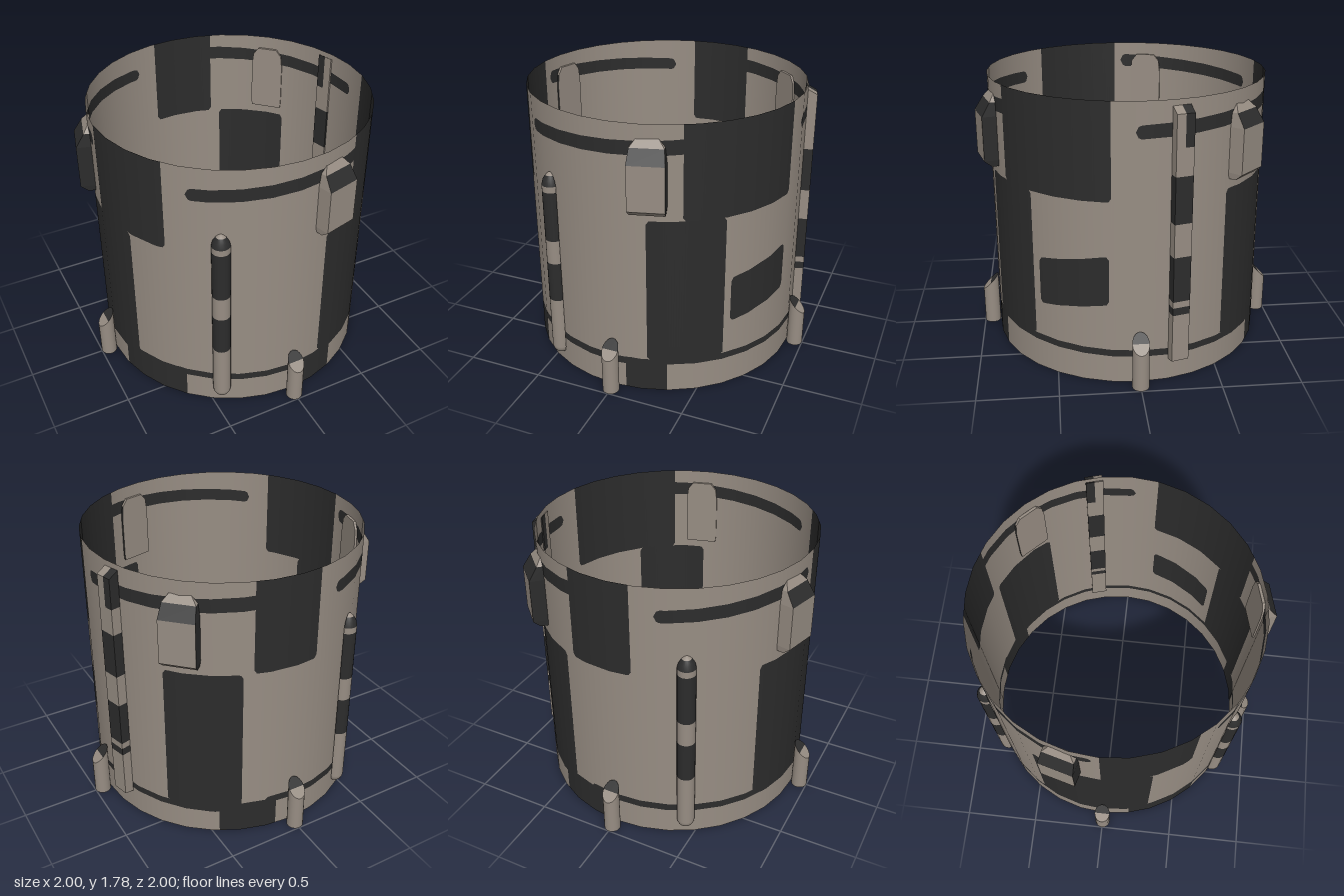
import * as THREE from 'three';

const R = 0.89, H = 1.785, SIDES = 32;
const rad = THREE.MathUtils.degToRad;

// Painted patches on the wall: start angle, end angle, low/high at start, low/high at end.
// Angle 0 is the front, 90 is +x; the paint seam is at -90 / 270.
const PATCHES = [
  // upper blocks
  [-95, -52, 1.19, 1.9], [28, 79, 1.19, 1.9], [162, 189, 1.19, 1.9],
  // middle columns
  [-95, -69, 0.2, 1.19], [14, 45, 0.22, 1.195], [127, 158, 0.19, 1.19], [240, 275, 0.18, 1.19],
  // lower blocks
  [-78, -45, -0.1, 0.23], [5, 22, -0.1, 0.23], [149, 173, -0.1, 0.22],
  // lower band
  [-95, -70, 0.165, 0.21], [-50, 10, 0.185, 0.235, 0.175, 0.225],
  [18, 154, 0.2, 0.245, 0.155, 0.2], [168, 275, 0.19, 0.24, 0.155, 0.205],
  // upper bands
  [-43, 32, 1.565, 1.645, 1.61, 1.7], [88, 166, 1.565, 1.645, 1.61, 1.7],
  [198, 267, 1.565, 1.645, 1.61, 1.7],
  // single slanted panel
  [48, 78, 0.46, 0.77, 0.53, 0.85],
];

// Low and high edge of a patch at an angle, with rounded corners
function patchSpan([a0, a1, lo0, hi0, lo1 = lo0, hi1 = hi0], a) {
  const t = (a - a0) / (a1 - a0);
  const lo = lo0 + (lo1 - lo0) * t, hi = hi0 + (hi1 - hi0) * t;
  const r = Math.min(hi - lo > 0.2 ? 0.025 : 0.04, (hi - lo) / 2);
  const d = Math.min(r, rad(Math.min(a - a0, a1 - a)) * R);
  const inset = r - Math.sqrt(r * r - (r - d) ** 2);
  return [lo + inset, hi - inset].map(y => THREE.MathUtils.clamp(y, 0, H));
}

// Point on the many-sided wall
function wallPoint(a, y) {
  const step = 360 / SIDES;
  const off = ((a % step) + step) % step - step / 2;
  const r = R * Math.cos(Math.PI / SIDES) / Math.cos(rad(off));
  return [r * Math.sin(rad(a)), y, r * Math.cos(rad(a))];
}

// Mesh from a list of four-cornered faces
function quadMesh(name, quads, material, radial = false) {
  const pos = quads.flatMap(([a, b, c, d]) => [...a, ...b, ...c, ...a, ...c, ...d]);
  const geo = new THREE.BufferGeometry();
  geo.setAttribute('position', new THREE.Float32BufferAttribute(pos, 3));
  geo.computeVertexNormals();
  if (radial) {
    const p = geo.attributes.position, n = geo.attributes.normal;
    for (let i = 0; i < p.count; i++) {
      const l = Math.hypot(p.getX(i), p.getZ(i));
      n.setXYZ(i, p.getX(i) / l, 0, p.getZ(i) / l);
    }
  }
  return named(name, geo, material);
}

function named(name, geo, material) {
  const m = new THREE.Mesh(geo, material);
  m.name = name;
  return m;
}

// Open wall, split in one-degree columns into light and dark faces
function makeWall(light, dark) {
  const quads = { light: [], dark: [] };
  for (let a = -90; a < 270; a++) {
    const emit = (key, l0, r0, l1, r1) => {
      if (l1 - l0 > 1e-5 || r1 - r0 > 1e-5) quads[key].push([
        wallPoint(a, l0), wallPoint(a + 1, r0), wallPoint(a + 1, r1), wallPoint(a, l1)]);
    };
    const spans = PATCHES.filter(p => p[0] <= a && p[1] >= a + 1)
      .map(p => [...patchSpan(p, a), ...patchSpan(p, a + 1)])
      .sort((s, t) => s[0] + s[2] - t[0] - t[2]);
    let l = 0, r = 0;
    for (const [loL, hiL, loR, hiR] of spans) {
      const l0 = Math.max(l, loL), r0 = Math.max(r, loR);
      emit('light', l, r, l0, r0);
      l = Math.max(l0, hiL);
      r = Math.max(r0, hiR);
      emit('dark', l0, r0, l, r);
    }
    emit('light', l, r, H, H);
  }
  const g = new THREE.Group();
  g.name = 'wall';
  g.add(quadMesh('wallLight', quads.light, light, true), quadMesh('wallDark', quads.dark, dark, true));
  return g;
}

// Short foot peg with a slanted top, inner half dark
function makePeg(light, dark) {
  const g = new THREE.Group(), r = 0.053;
  const body = new THREE.CylinderGeometry(r, r, 1, 20, 1, true);
  const p = body.attributes.position;
  for (let i = 0; i < p.count; i++) p.setY(i, p.getY(i) > 0 ? 0.3 - p.getZ(i) : 0);
  g.add(named('pegBody', body, light));
  [[dark, 0, 'pegTopInner'], [light, Math.PI, 'pegTopOuter']].forEach(([mat, start, name]) => {
    const top = new THREE.CircleGeometry(r, 10, start, Math.PI).rotateX(-Math.PI / 2);
    const q = top.attributes.position;
    for (let i = 0; i < q.count; i++) q.setY(i, 0.3 - q.getZ(i));
    top.computeVertexNormals();
    g.add(named(name, top, mat));
  });
  g.add(named('pegBase', new THREE.CircleGeometry(r, 20).rotateX(Math.PI / 2), light));
  return g;
}

// Half-round upright rib with a pointed top and round bottom
function makeRib(light, dark) {
  const g = new THREE.Group(), r = 0.057;
  const foot = [];
  for (let i = 0; i <= 5; i++) {
    const t = i / 5 * Math.PI / 2;
    foot.push([r * Math.sin(t), 0.12 - 0.06 * Math.cos(t)]);
  }
  const bands = [
    [light, [...foot, [r, 0.48]]],
    [dark, [[r, 0.48], [r, 0.75]]],
    [light, [[r, 0.75], [r, 0.91]]],
    [dark, [[r, 0.91], [r, 1.24]]],
    [light, [[r, 1.24], [r, 1.28]]],
    [dark, [[r, 1.28], [0.048, 1.315], [0.03, 1.342]]],
    [light, [[0.03, 1.342], [0.015, 1.355], [0, 1.36]]],
  ];
  bands.forEach(([mat, pts], i) => g.add(named('ribBand' + i, new THREE.LatheGeometry(
    pts.map(q => new THREE.Vector2(...q)), 12, -Math.PI / 2, Math.PI), mat)));
  return g;
}

// Flat upright bar with painted bands and a bevelled top
function makeBar(light, dark) {
  const g = new THREE.Group(), w = 0.11, depth = 0.072;
  const bands = [
    [light, 0.14, 0.47], [dark, 0.47, 0.52], [light, 0.52, 0.56], [dark, 0.56, 0.85],
    [light, 0.85, 1.06], [dark, 1.06, 1.35], [light, 1.35, 1.52],
    [light, 1.52, 1.755, -1], [dark, 1.52, 1.755, 1],
  ];
  bands.forEach(([mat, y0, y1, side = 0], i) => {
    const geo = new THREE.BoxGeometry(side ? w / 2 : w, y1 - y0, depth);
    geo.translate(side * w / 4, (y0 + y1) / 2, 0);
    const p = geo.attributes.position;
    for (let k = 0; k < p.count; k++) {
      if (p.getZ(k) < 0) continue;
      if (p.getY(k) > 1.7) p.setY(k, 1.715);
      if (p.getY(k) < 0.2) p.setY(k, 0.155);
    }
    geo.computeVertexNormals();
    g.add(named('barBand' + i, geo, mat));
  });
  return g;
}

// Bevelled pad: rings of height, half width, outer face distance
function makePad(light, dark) {
  const g = new THREE.Group(), back = 0.868;
  const rings = [[1.25, 0.105, 0.925], [1.29, 0.11, 0.972], [1.57, 0.11, 0.972],
    [1.655, 0.1, 0.918], [1.7, 0.065, 0.885]]
    .map(([y, w, z]) => [[-w, y, back], [-w, y, z], [w, y, z], [w, y, back]]);
  const lightFaces = [], darkFaces = [];
  for (let i = 0; i < 4; i++) {
    const a = rings[i], b = rings[i + 1];
    for (let k = 0; k < 4; k++) {
      const n = (k + 1) % 4;
      const isDark = (k === 2 && i < 3) || (k === 1 && i === 2);
      (isDark ? darkFaces : lightFaces).push([a[k], a[n], b[n], b[k]]);
    }
  }
  const [a, b, c, d] = rings[0];
  lightFaces.push([d, c, b, a], rings[4]);
  g.add(quadMesh('padLight', lightFaces, light), quadMesh('padDark', darkFaces, dark));
  return g;
}

export function createModel() {
  const make = (name, color) => {
    const m = new THREE.MeshStandardMaterial({ color, side: THREE.DoubleSide });
    m.name = name;
    return m;
  };
  const light = make('warmGrey', 0x978d83), dark = make('charcoal', 0x2c2c2c);
  const model = new THREE.Group();
  model.name = 'paintedSleeve';
  model.add(makeWall(light, dark));

  // Parts placed round the wall: builder, name, distance from the axis, angles
  const parts = [
    [makePeg, 'footPeg', 0.947, [0, 90, 180, 270]],
    [makeRib, 'roundRib', 0.89, [-30, 210]],
    [makeBar, 'flatBar', 0.912, [105]],
    [makePad, 'pad', 0, [15, 135, 255]],
  ];
  for (const [build, name, dist, angles] of parts) {
    for (const a of angles) {
      const part = build(light, dark);
      part.name = name;
      part.rotation.y = rad(a);
      part.position.set(dist * Math.sin(rad(a)), 0, dist * Math.cos(rad(a)));
      model.add(part);
    }
  }
  return model;
}
